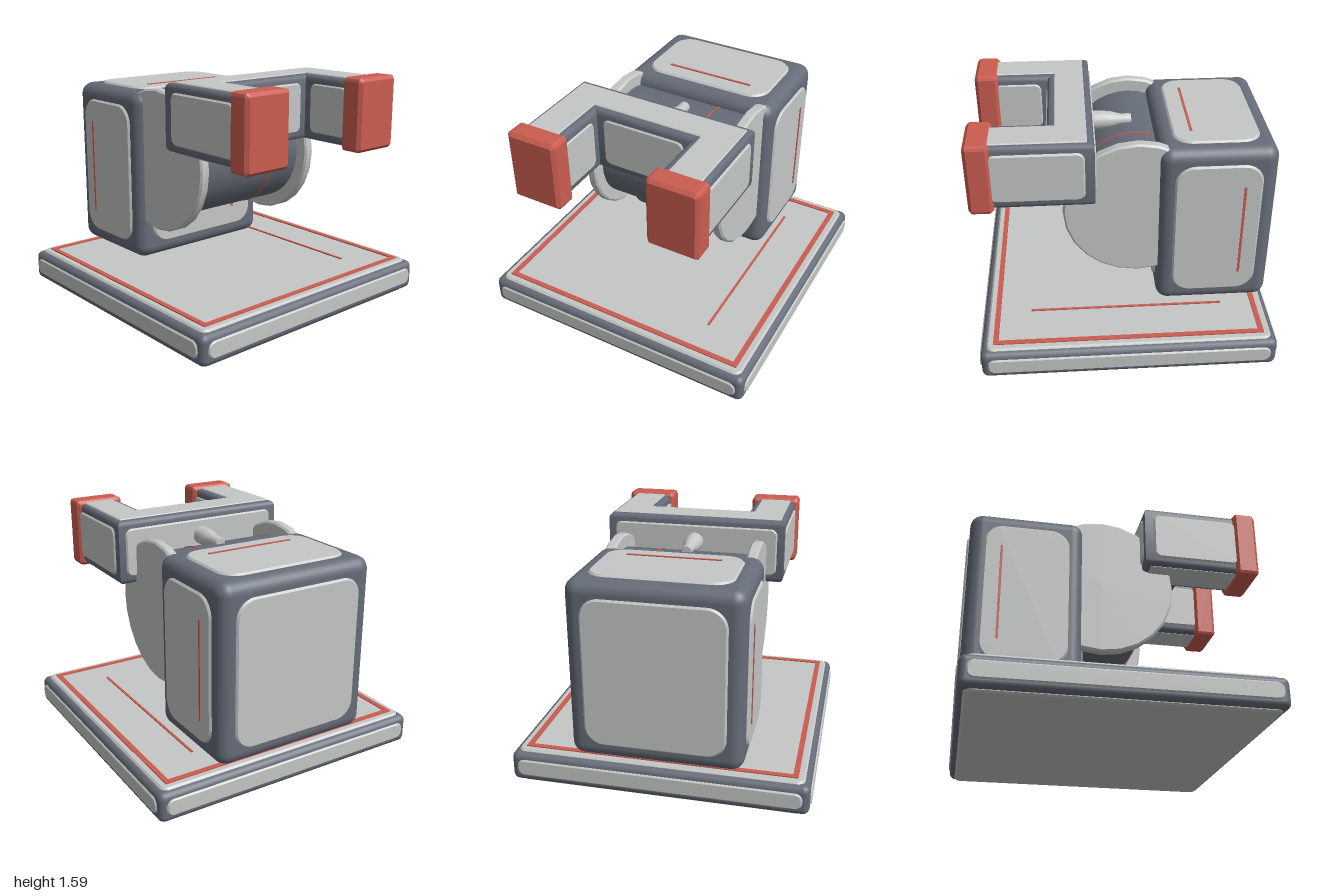
import * as THREE from 'three';
import { toCreasedNormals } from 'three/addons/utils/BufferGeometryUtils.js';
import { RoundedBoxGeometry } from 'three/addons/geometries/RoundedBoxGeometry.js';

const mat = (name, color) => Object.assign(new THREE.MeshStandardMaterial({ color }), { name });

// Rotations that turn a plate lying in xy (facing +z) towards each side
const H = Math.PI / 2;
const SIDES = {
  front: [0, 0, 0], back: [0, Math.PI, 0], left: [0, H, 0],
  right: [0, -H, 0], top: [-H, 0, 0], bottom: [H, 0, 0],
};

function roundedRect(w, h, r) {
  const s = new THREE.Shape(), x = w / 2, y = h / 2;
  s.moveTo(-x + r, -y);
  s.lineTo(x - r, -y);
  s.absarc(x - r, -y + r, r, -H, 0);
  s.lineTo(x, y - r);
  s.absarc(x - r, y - r, r, 0, H);
  s.lineTo(-x + r, y);
  s.absarc(-x + r, y - r, r, H, Math.PI);
  s.lineTo(-x, -y + r);
  s.absarc(-x + r, -y + r, r, Math.PI, Math.PI * 1.5);
  return s;
}

// U outline opening towards +z, drawn with shape y = -z
function uShape(outer, inner, back, cross, front) {
  return new THREE.Shape([
    [-outer, -front], [-inner, -front], [-inner, -cross], [inner, -cross],
    [inner, -front], [outer, -front], [outer, -back], [-outer, -back],
  ].map(([x, y]) => new THREE.Vector2(x, y)));
}

// Solid of the given depth whose edges are bevelled inwards
function slab(shape, depth, bevel, segments = 1, curveSegments = 8, crease = 0.5) {
  const geo = new THREE.ExtrudeGeometry(shape, {
    depth: depth - 2 * bevel, bevelEnabled: bevel > 0, bevelThickness: bevel,
    bevelSize: bevel, bevelOffset: -bevel, bevelSegments: segments, curveSegments,
  });
  geo.translate(0, 0, bevel);
  return toCreasedNormals(geo, crease);
}

export function createModel() {
  const model = new THREE.Group();
  model.name = 'machine';
  const light = mat('light grey panel', 0xc5c7c7);
  const dark = mat('slate grey shell', 0x666c78);
  const red = mat('red accent', 0xcb5d50);

  const add = (name, geo, material, pos = [0, 0, 0], rot = [0, 0, 0]) => {
    const m = new THREE.Mesh(geo, material);
    m.name = name;
    m.position.set(...pos);
    m.rotation.set(...rot);
    model.add(m);
    return m;
  };
  // Raised cover plate; pos lies on its outer face
  const panel = (name, side, w, h, r, pos) => {
    const geo = slab(roundedRect(w, h, r), 0.03, 0.012);
    geo.translate(0, 0, -0.03);
    add(name, geo, light, pos, SIDES[side]);
  };
  const strip = (name, size, pos) => add(name, new THREE.BoxGeometry(...size), red, pos);

  // Base slab
  add('base', new RoundedBoxGeometry(1.975, 0.205, 1.975, 3, 0.045), dark, [0, 0.1175, 0]);
  panel('baseTopPanel', 'top', 1.9, 1.9, 0.05, [0, 0.235, 0]);
  panel('baseBottomPanel', 'bottom', 1.9, 1.9, 0.05, [0, 0, 0]);
  panel('baseFrontPanel', 'front', 1.89, 0.12, 0.05, [0, 0.12, 0.997]);
  panel('baseBackPanel', 'back', 1.89, 0.12, 0.05, [0, 0.12, -0.997]);
  panel('baseLeftPanel', 'left', 1.89, 0.12, 0.05, [0.997, 0.12, 0]);
  panel('baseRightPanel', 'right', 1.89, 0.12, 0.05, [-0.997, 0.12, 0]);

  // Red border and guide line on the base
  const border = new THREE.Shape(roundedRect(1.81, 1.81, 0.005).getPoints());
  border.holes.push(new THREE.Path(roundedRect(1.74, 1.74, 0.005).getPoints()));
  add('baseBorder', slab(border, 0.009, 0), red, [0, 0.233, 0], SIDES.top);
  strip('baseLine', [0.016, 0.009, 1.32], [0.58, 0.2375, 0]);

  // Body block
  const bz = -0.595, by = 0.855;
  add('body', new RoundedBoxGeometry(1.13, 1.2, 0.77, 5, 0.085), dark, [0, by, bz]);
  panel('bodyFrontPanel', 'front', 0.92, 0.99, 0.13, [0, by, -0.195]);
  panel('bodyBackPanel', 'back', 0.92, 0.99, 0.13, [0, by, -0.995]);
  panel('bodyLeftPanel', 'left', 0.57, 0.99, 0.13, [0.579, by, bz]);
  panel('bodyRightPanel', 'right', 0.57, 0.99, 0.13, [-0.579, by, bz]);
  panel('bodyTopPanel', 'top', 0.92, 0.57, 0.13, [0, 1.468, bz]);
  panel('bodyBottomPanel', 'bottom', 0.92, 0.57, 0.13, [0, 0.238, bz]);
  strip('bodyTopLine', [0.63, 0.009, 0.016], [0, 1.469, -0.435]);
  strip('bodyFrontLine', [0.018, 0.68, 0.009], [0.275, 0.85, -0.194]);
  for (const s of [1, -1]) {
    strip('bodySideLine', [0.009, 0.68, 0.016], [s * 0.58, 0.85, -0.765]);
  }

  // Drum between two discs
  const axis = [0, 0, H];
  add('drum', new THREE.CylinderGeometry(0.4, 0.4, 0.9, 32), dark, [0, 1, -0.08], axis);
  add('drumRing', new THREE.CylinderGeometry(0.405, 0.405, 0.01, 32), red, [0.193, 1, -0.08], axis);
  const discProfile = [[0, -0.036], [0.48, -0.036], [0.493, -0.024], [0.493, 0.024], [0.48, 0.036], [0, 0.036]]
    .map(([x, y]) => new THREE.Vector2(x, y));
  const disc = toCreasedNormals(new THREE.LatheGeometry(discProfile, 24), 0.5);
  for (const s of [1, -1]) add('disc', disc, light, [s * 0.48, 1, -0.08], axis);

  // Nozzle joining drum and fork
  const nozzle = [[0, -0.07], [0.034, -0.07], [0.038, -0.06], [0.038, 0], [0.056, 0.07], [0.063, 0.13], [0.063, 0.22]]
    .map(([x, y]) => new THREE.Vector2(x, y));
  add('nozzle', toCreasedNormals(new THREE.LatheGeometry(nozzle, 20), 0.6), light, [0, 1.405, 0], [H, 0, 0]);

  // Forked arm
  const ay = 1.352;
  add('fork', slab(uShape(0.637, 0.34, 0.2, 0.49, 0.9), 0.445, 0.035, 3, 8, 0.7), dark, [0, 1.13, 0], SIDES.top);
  const forkPlate = slab(uShape(0.605, 0.385, 0.243, 0.445, 0.88), 0.02, 0.006);
  add('forkTopPanel', forkPlate, light, [0, 1.562, 0], SIDES.top);
  add('forkBottomPanel', forkPlate, light, [0, 1.122, 0], SIDES.top);
  panel('forkBackPanel', 'back', 1.18, 0.34, 0.05, [0, ay, 0.19]);
  panel('forkInnerPanel', 'front', 0.59, 0.345, 0.05, [0, ay, 0.5]);
  for (const s of [1, -1]) {
    const [out, into] = s > 0 ? ['left', 'right'] : ['right', 'left'];
    panel('prongOuterPanel', out, 0.6, 0.34, 0.05, [s * 0.648, ay, 0.56]);
    panel('prongInnerPanel', into, 0.33, 0.34, 0.05, [s * 0.331, ay, 0.7]);
    // Chamfered red tip
    add('tip', slab(roundedRect(0.352, 0.485, 0.025), 0.16, 0.022, 1, 1, 0.1), red, [s * 0.488, 1.351, 0.836]);
  }
  return model;
}
